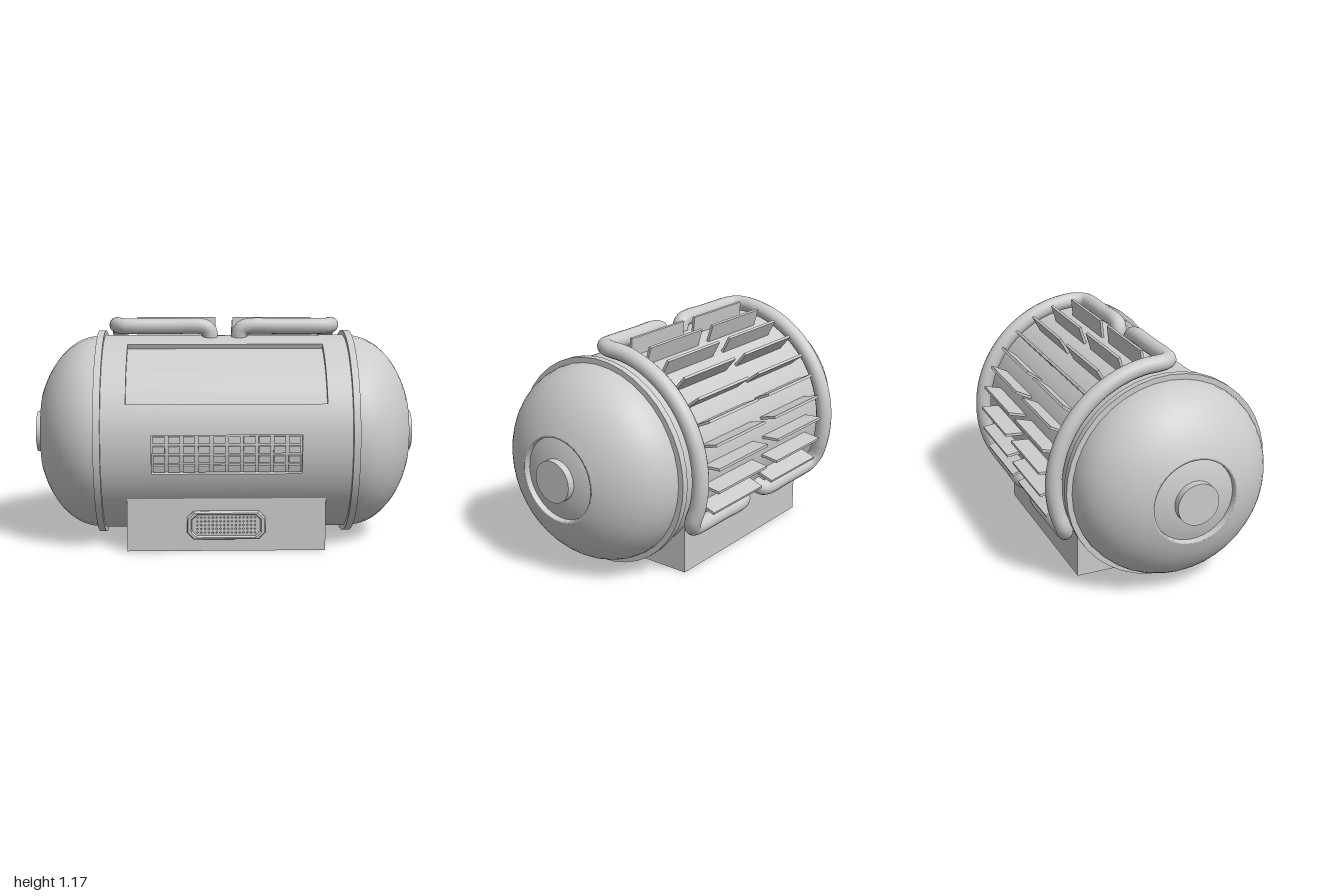
import * as THREE from 'three';

const DEG = Math.PI / 180;
const CY = 0.555, CZ = 0.035; // axis of the tank
const R = 0.515, RIN = 0.49;  // shell radii
const mat = new THREE.MeshStandardMaterial({ color: 0xcccccc, roughness: 0.7 });

function add(parent, name, geo) {
  const m = new THREE.Mesh(geo, mat);
  m.name = name;
  parent.add(m);
  return m;
}

// Curved slab round the x axis; angles in degrees from the front (+z) upward
function slab(r0, r1, x0, x1, a0, a1) {
  const s = new THREE.Shape();
  const b0 = Math.PI - a1 * DEG, b1 = Math.PI - a0 * DEG;
  s.absarc(0, 0, r1, b0, b1, false);
  s.absarc(0, 0, r0, b1, b0, true);
  s.closePath();
  const g = new THREE.ExtrudeGeometry(s, {
    depth: x1 - x0, bevelEnabled: false, curveSegments: Math.max(2, Math.ceil((a1 - a0) / 7))
  });
  g.rotateY(Math.PI / 2).translate(x0, 0, 0);
  // smooth radial normals on the outer face
  const p = g.attributes.position, n = g.attributes.normal;
  for (let i = 0; i < p.count; i++) {
    const y = p.getY(i), z = p.getZ(i), l = Math.hypot(y, z);
    if ((n.getY(i) * y + n.getZ(i) * z) / l > 0.9) n.setXYZ(i, 0, y / l, z / l);
  }
  return g;
}

// Lathe or cylinder lying along +x
const lathe = pts => new THREE.LatheGeometry(pts.map(p => new THREE.Vector2(...p)), 40).rotateZ(-Math.PI / 2);
const drum = (r, x0, x1) =>
  new THREE.CylinderGeometry(r, r, x1 - x0, 40).rotateZ(-Math.PI / 2).translate((x0 + x1) / 2, 0, 0);

// Rectangle with cut corners
function octagon(w, h, c, Type = THREE.Shape) {
  const a = w / 2, b = h / 2;
  return new Type([[-a + c, -b], [a - c, -b], [a, -b + c], [a, b - c], [a - c, b], [-a + c, b], [-a, b - c], [-a, -b + c]]
    .map(p => new THREE.Vector2(...p)));
}

export function createModel() {
  const model = new THREE.Group();
  const tank = new THREE.Group();
  tank.name = 'tank';
  tank.position.set(0, CY, CZ);
  model.add(tank);

  // Body: core plus a shell that leaves openings for the screen and keypad
  const L = 0.632, SX = 0.505, KX = 0.377;
  const A = { k0: -16.3, k1: 6.1, s0: 23.5, s1: 68.8 };
  add(tank, 'bodyCore', drum(RIN, -L, L));
  add(tank, 'bodyShellBack', slab(RIN, R, -L, L, A.s1, 360 + A.k0));
  add(tank, 'bodyShellFront', slab(RIN, R, -L, L, A.k1, A.s0));
  for (const [x, a0, a1] of [[SX, A.s0, A.s1], [KX, A.k0, A.k1]]) {
    add(tank, 'bodyShellSide', slab(RIN, R, x, L, a0, a1));
    add(tank, 'bodyShellSide', slab(RIN, R, -L, -x, a0, a1));
  }

  // Keypad
  const cols = 10, rows = 4, kw = 2 * KX / cols, ka = (A.k1 - A.k0) / rows;
  for (let i = 0; i < cols; i++) for (let j = 0; j < rows; j++) {
    const x = -KX + i * kw, a = A.k0 + j * ka;
    add(tank, 'key', slab(RIN - 0.005, 0.508, x + 0.008, x + kw - 0.008, a + 0.8, a + ka - 0.8));
  }

  // End caps
  for (const turn of [0, Math.PI]) {
    const cap = new THREE.Group();
    cap.name = turn ? 'rightEndCap' : 'leftEndCap';
    cap.rotation.y = turn;
    tank.add(cap);
    add(cap, 'flange', drum(0.54, 0.63, 0.665));
    const dome = [];
    for (let i = 0; i <= 12; i++) {
      const t = i / 12 * 64 * DEG;
      dome.push([0.512 * Math.cos(t), 0.66 + 0.337 * Math.sin(t)]);
    }
    add(cap, 'dome', lathe(dome));
    add(cap, 'recessWall', lathe([[0.2245, 0.963], [0.215, 0.963], [0.214, 0.935]]));
    add(cap, 'recessFloor', lathe([[0.216, 0.935], [0.18, 0.947], [0.14, 0.957], [0.1, 0.963]]));
    add(cap, 'hub', drum(0.108, 0.92, 1));
  }

  // Cooling fins and pipes, mirrored
  for (const s of [1, -1]) {
    const fins = new THREE.Group();
    fins.name = s > 0 ? 'leftFins' : 'rightFins';
    tank.add(fins);
    for (let i = 0; i < 10; i++) {
      const t = (5.6 + 11.5 * i) * DEG;
      const fin = add(fins, 'fin', new THREE.BoxGeometry(0.42, 0.115, 0.014));
      fin.position.set(s * 0.255, 0.5525 * Math.cos(t), -0.5525 * Math.sin(t));
      fin.rotation.x = -t;
    }

    const P = (x, r, deg) => new THREE.Vector3(s * x, r * Math.cos(deg * DEG), -r * Math.sin(deg * DEG));
    const pr = 0.569, t0 = -6, t1 = 119;
    const elbow = t => [P(0.075, 0.48, t), P(0.077, 0.525, t), P(0.09, 0.556, t), P(0.125, pr, t),
      P(0.3, pr, t), P(0.49, pr, t), P(0.535, pr, t + (t < 0 ? 1 : -1))];
    const arc = [];
    for (let i = 0; i <= 12; i++) arc.push(P(0.567, pr, t0 + 6 + (t1 - t0 - 12) * i / 12));
    const path = new THREE.CatmullRomCurve3([...elbow(t0), ...arc, ...elbow(t1).reverse()], false, 'centripetal');
    add(tank, s > 0 ? 'leftPipe' : 'rightPipe', new THREE.TubeGeometry(path, 140, 0.042, 14));
  }

  // Base block
  const base = add(model, 'base', new THREE.BoxGeometry(1.01, 0.275, 0.855));
  base.position.set(0, 0.1375, 0.0375);

  // Speaker: chamfered frame with a perforated plate set into it
  const speaker = new THREE.Group();
  speaker.name = 'speaker';
  speaker.position.set(-0.002, 0.137, 0.46);
  model.add(speaker);
  const frame = octagon(0.4, 0.144, 0.035);
  frame.holes.push(octagon(0.345, 0.108, 0.024, THREE.Path));
  add(speaker, 'speakerFrame', new THREE.ExtrudeGeometry(frame, {
    depth: 0.028, bevelThickness: 0.012, bevelSize: 0.006, bevelOffset: -0.006, bevelSegments: 1
  }));
  const plate = octagon(0.35, 0.112, 0.024);
  for (let i = 0; i < 16; i++) for (let j = 0; j < 5; j++) {
    const hole = new THREE.Path();
    hole.absarc((i - 7.5) * 0.0195, (j - 2) * 0.0195, 0.0045, 0, Math.PI * 2, true);
    plate.holes.push(hole);
  }
  add(speaker, 'speakerGrille', new THREE.ExtrudeGeometry(plate, { depth: 0.02, bevelEnabled: false, curveSegments: 3 }));

  return model;
}
